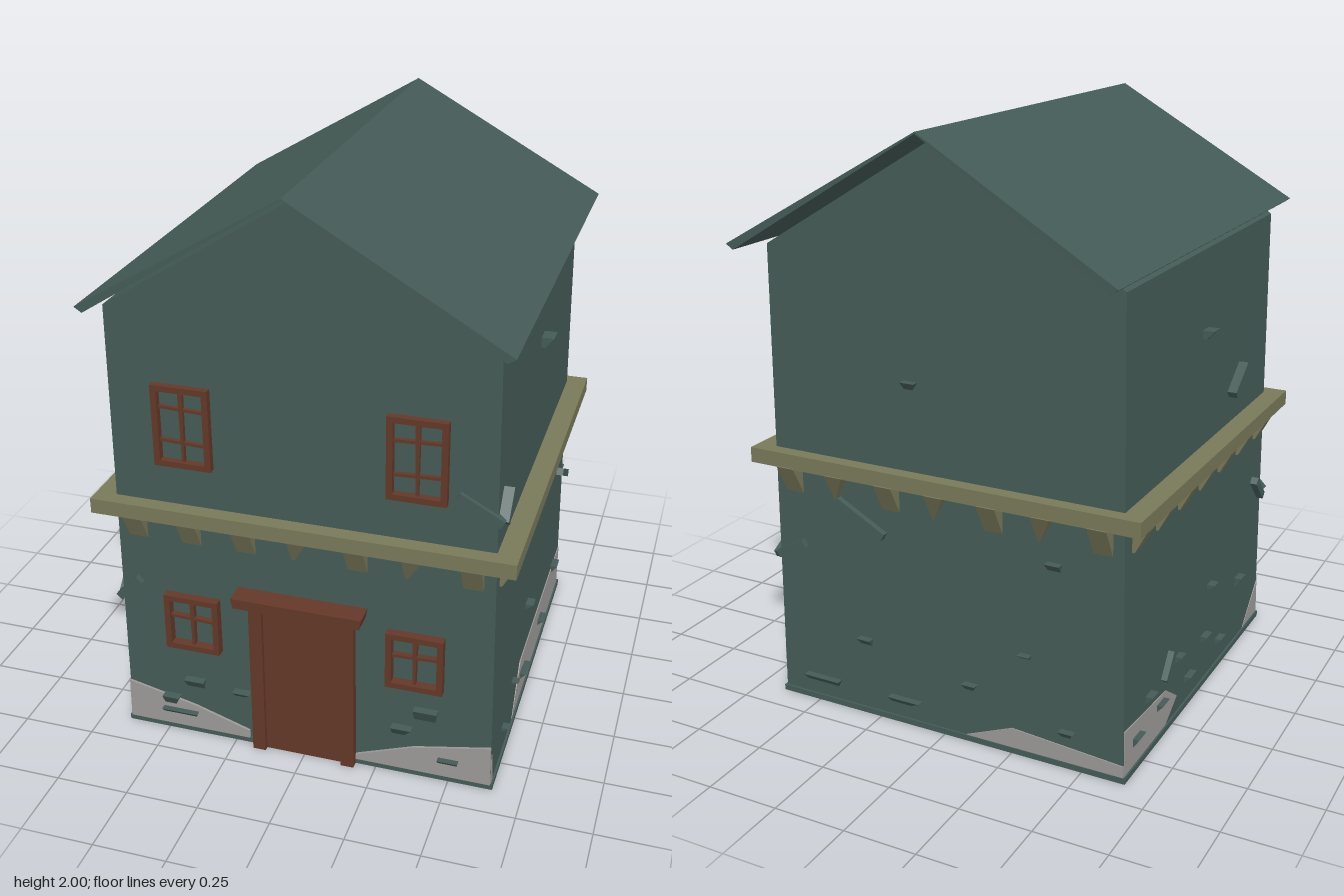
import * as THREE from 'three';

const mat = (name, color, side = THREE.FrontSide) => {
  const m = new THREE.MeshStandardMaterial({ color, side, flatShading: true });
  m.name = name;
  return m;
};

export function createModel() {
  const house = new THREE.Group();
  house.name = 'house';
  const teal = mat('teal plaster', 0x445b56);
  const olive = mat('olive trim', 0x78785a);
  const brown = mat('brown wood', 0x633828);
  const grey = mat('bare grey wall', 0x9c9898);

  const add = (parent, name, geo, material, x = 0, y = 0, z = 0) => {
    const m = new THREE.Mesh(geo, material);
    m.name = name;
    m.position.set(x, y, z);
    parent.add(m);
    return m;
  };
  const box = (parent, name, material, w, h, d, x, y, z) =>
    add(parent, name, new THREE.BoxGeometry(w, h, d), material, x, y, z);
  const poly = (pts) => new THREE.Shape(pts.map(([x, y]) => new THREE.Vector2(x, y)));
  const extrude = (shape, depth) => new THREE.ExtrudeGeometry(shape, { depth, bevelEnabled: false });
  const reshape = (geo, rule) => {
    const p = geo.attributes.position, v = new THREE.Vector3();
    for (let i = 0; i < p.count; i++) {
      rule(v.fromBufferAttribute(p, i));
      p.setXYZ(i, v.x, v.y, v.z);
    }
    geo.computeVertexNormals();
    return geo;
  };

  // Gabled body, slightly tapering, with the front leaning outward
  const body = extrude(poly([[-0.643, 0], [0.643, 0], [0.62, 1.6], [0, 1.97], [-0.62, 1.58]]), 1);
  add(house, 'walls', reshape(body, (v) => { v.z = v.z > 0.5 ? 0.634 + 0.01 * v.y : -0.648; }), teal);
  box(house, 'plinth', teal, 1.3, 0.02, 1.295, 0, 0.01, -0.007);

  // Two thin roof sheets, deeper at the eaves than at the ridge
  for (const s of [1, -1]) {
    const e = s > 0 ? 0.68 : 0.65;
    const pts = [[0, 1.994], [s * (e - 0.025), 1.6], [s * e, 1.617], [0, 2]];
    const roof = extrude(poly(pts), 1);
    add(house, s > 0 ? 'leftRoof' : 'rightRoof', reshape(roof, (v) => {
      v.z = (v.z > 0.5 ? 1 : -1) * (0.75 + 0.037 * Math.abs(v.x));
    }), teal);
  }

  // Trim band around the building
  const ring = poly([[-0.7, -0.695], [0.7, -0.695], [0.7, 0.695], [-0.7, 0.695]]);
  ring.holes.push(new THREE.Path([[-0.6, -0.6], [-0.6, 0.6], [0.6, 0.6], [0.6, -0.6]].map((p) => new THREE.Vector2(...p))));
  add(house, 'trimBand', extrude(ring, 0.052).rotateX(-Math.PI / 2), olive, 0, 0.862, 0);

  // One group per wall: local +z points out of the wall, local x runs along it
  const walls = {};
  [['front', 0, 0.64], ['left', Math.PI / 2, 0.64], ['back', Math.PI, 0.648], ['right', -Math.PI / 2, 0.64]]
    .forEach(([name, turn, dist]) => {
      const g = new THREE.Group();
      g.name = name + 'WallDetails';
      g.rotation.y = turn;
      g.userData.dist = dist;
      house.add(g);
      walls[name] = g;
    });

  // Brackets under the band, square or tapering to one corner
  for (const g of Object.values(walls)) {
    for (let i = -3; i <= 3; i++) {
      const pointed = i === 0 || i === 2 || (g !== walls.front && i === -2);
      const geo = reshape(new THREE.BoxGeometry(0.065, 0.1, 0.07), (v) => {
        if (v.y > 0) return;
        if (v.z > 0) v.z = -0.018;
        if (pointed && v.x > 0) v.x = -0.025;
      });
      add(g, 'bracket', geo, olive, i * 0.187, 0.815, g.userData.dist + 0.018);
    }
  }

  // Areas of lost plaster, as thin plates
  const patch = (wall, pts) => add(walls[wall], 'barePatch', extrude(poly(pts), 0.009), grey, 0, 0, walls[wall].userData.dist - 0.005);
  patch('front', [[-0.643, 0.02], [-0.2, 0.02], [-0.2, 0.05], [-0.4, 0.115], [-0.64, 0.17]]);
  patch('front', [[0.18, 0.02], [0.643, 0.02], [0.64, 0.17], [0.38, 0.115], [0.18, 0.04]]);
  patch('left', [[-0.28, 0.02], [0.645, 0.02], [0.645, 0.18], [-0.16, 0.18]]);
  patch('left', [[-0.633, 0.02], [-0.61, 0.02], [-0.633, 0.14]]);
  patch('back', [[0.08, 0.02], [0.643, 0.02], [0.643, 0.06], [0.25, 0.09]]);
  patch('right', [[-0.645, 0.02], [-0.3, 0.02], [-0.2, 0.08], [-0.3, 0.15], [-0.645, 0.18]]);
  patch('right', [[0.48, 0.02], [0.633, 0.02], [0.633, 0.15]]);

  // Loose plaster chips: [along, height, width, tall]
  const chips = {
    front: [[-0.45, 0.075, 0.13, 0.03], [-0.48, 0.12, 0.06, 0.05], [-0.39, 0.21, 0.07, 0.04], [-0.22, 0.2, 0.06, 0.03],
      [0.42, 0.255, 0.08, 0.05], [0.34, 0.175, 0.07, 0.04], [0.5, 0.08, 0.07, 0.03]],
    left: [[0.03, 1.34, 0.06, 0.035], [-0.06, 0.36, 0.045, 0.02], [-0.14, 0.115, 0.05, 0.03], [-0.09, 0.11, 0.04, 0.025],
      [0.22, 0.11, 0.06, 0.025], [0.5, 0.175, 0.06, 0.035], [-0.45, 0.11, 0.03, 0.02], [-0.29, 0.19, 0.03, 0.01]],
    back: [[-0.48, 0.08, 0.14, 0.03], [-0.15, 0.08, 0.12, 0.03], [-0.3, 0.27, 0.05, 0.03], [0.1, 0.2, 0.05, 0.03],
      [0.3, 0.36, 0.04, 0.02], [0.45, 0.12, 0.05, 0.03], [0.4, 0.69, 0.05, 0.03], [-0.1, 1.2, 0.05, 0.03]],
    right: [[-0.55, 0.1, 0.06, 0.04], [-0.45, 0.2, 0.05, 0.03], [-0.35, 0.12, 0.06, 0.03], [-0.2, 0.22, 0.04, 0.03],
      [-0.1, 0.1, 0.06, 0.03], [0.05, 0.18, 0.05, 0.03], [0.2, 0.1, 0.05, 0.03], [0.4, 0.25, 0.05, 0.04],
      [0.1, 0.36, 0.04, 0.02], [0, 1.3, 0.05, 0.03]],
  };
  for (const [wall, list] of Object.entries(chips)) {
    list.forEach(([x, y, w, h], i) => {
      const geo = reshape(new THREE.BoxGeometry(w, h, 0.045), (v) => {
        if (v.z > 0 && v.y < 0) v.z = -0.005;
        if (v.x > 0 && v.y < 0) v.x *= i % 2 ? 0.2 : 0.8;
      });
      add(walls[wall], 'plasterChip', geo, teal, x, y, walls[wall].userData.dist + 0.003);
    });
  }

  // Slanting battens: [wall, along, height, length, tilt]
  [['front', 0.575, 1.06, 0.16, -0.5], ['left', -0.6, 1.06, 0.11, 0.8], ['left', 0.575, 0.56, 0.17, -0.5],
    ['front', -0.605, 0.565, 0.11, 0.8], ['back', -0.3, 0.72, 0.2, -0.5], ['right', 0.3, 1.06, 0.14, 0.6],
    ['right', 0.57, 0.56, 0.12, -0.8], ['back', -0.58, 0.56, 0.12, 0.5], ['right', -0.3, 0.24, 0.1, 0.9]]
    .forEach(([wall, x, y, len, tilt]) => {
      const g = walls[wall];
      box(g, 'batten', teal, len, 0.028, 0.035, x, y, g.userData.dist + 0.003).rotation.z = tilt;
    });

  // Windows: frame with glazing bars
  const windowFrame = (x, y0, y1, bars) => {
    const g = new THREE.Group(), w = 0.19, t = 0.02, h = y1 - y0;
    g.name = 'window';
    g.position.set(x, (y0 + y1) / 2, 0.645);
    for (const s of [-1, 1]) {
      box(g, 'frameSide', brown, t, h, 0.05, s * (w - t) / 2, 0, 0);
      box(g, 'frameRail', brown, w, t, 0.05, 0, s * (h - t) / 2, 0);
    }
    add(g, 'mullion', reshape(new THREE.BoxGeometry(0.016, h, 0.03), (v) => { if (v.y < 0) v.x *= 0.5; }), brown);
    for (const y of bars) {
      box(g, 'glazingBar', brown, w, 0.01, 0.028, 0, y - g.position.y, 0).rotation.z = 0.04 * Math.sign(x);
    }
    walls.front.add(g);
  };
  for (const s of [-1, 1]) {
    windowFrame(s * 0.379, 1.06, 1.34, [1.26, 1.145]);
    windowFrame(s * 0.382, 0.363, 0.57, [0.485]);
    // Door posts
    box(walls.front, 'doorPost', brown, 0.045, 0.6, 0.06, s * 0.157, 0.3, 0.637);
  }

  // Door and lintel
  box(walls.front, 'door', brown, 0.28, 0.6, 0.04, 0, 0.3, 0.63);
  add(walls.front, 'lintel', reshape(new THREE.BoxGeometry(0.44, 0.035, 0.1), (v) => {
    if (v.y < 0) v.x *= 0.97;
  }), brown, 0, 0.615, 0.665);

  return house;
}
